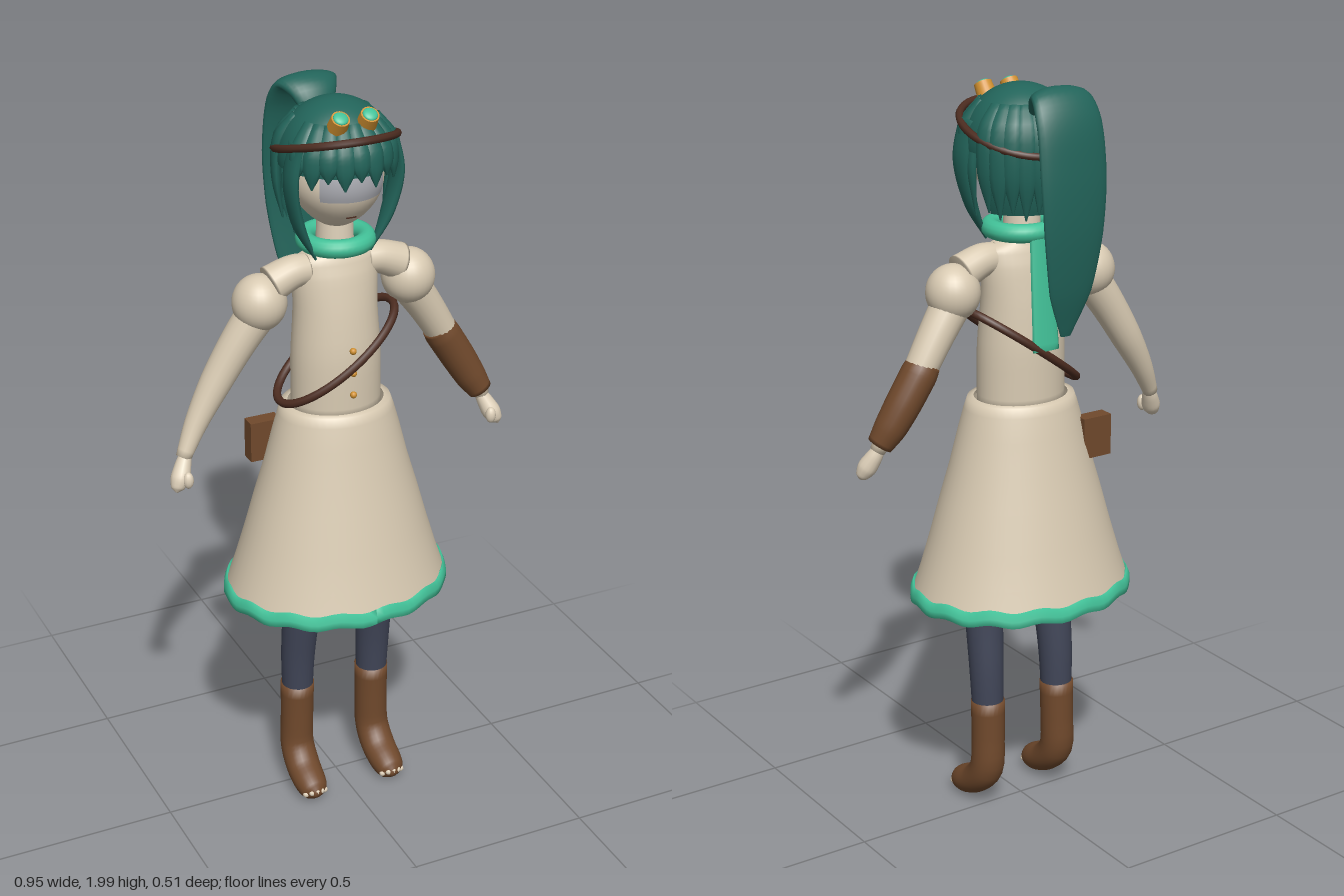
import * as THREE from 'three';

const paint = (name, color) => {
  const m = new THREE.MeshStandardMaterial({ color, side: THREE.DoubleSide });
  m.name = name;
  return m;
};

export function createModel() {
  const model = new THREE.Group();
  model.name = 'adventurer';
  const cream = paint('cream cloth', 0xd8cab2);
  const skin = paint('skin', 0xdfd1ba);
  const navy = paint('navy leggings', 0x414658);
  const leather = paint('brown leather', 0x70492c);
  const strapBrown = paint('dark strap', 0x4c2c20);
  const hairTeal = paint('teal hair', 0x22645a);
  const green = paint('mint green', 0x42c198);
  const gold = paint('gold', 0xd09030);
  const eyeGrey = paint('eye grey', 0xa9aab0);

  const add = (name, geometry, material, x = 0, y = 0, z = 0, parent = model) => {
    const mesh = new THREE.Mesh(geometry, material);
    mesh.name = name;
    mesh.position.set(x, y, z);
    parent.add(mesh);
    return mesh;
  };

  // Smooth capped sweep through sections [x, y, z, radius along ref, radius across]
  const loft = (sections, ref, n = 20, steps = 20) => {
    const path = new THREE.CatmullRomCurve3(sections.map((s) => new THREE.Vector3(s[0], s[1], s[2])));
    const size = new THREE.CatmullRomCurve3(sections.map((s) => new THREE.Vector3(s[3], s[4] ?? s[3], 0)));
    const pos = [], idx = [];
    for (let i = 0; i <= steps; i++) {
      const c = path.getPoint(i / steps), r = size.getPoint(i / steps), t = path.getTangent(i / steps);
      const u = ref.clone().addScaledVector(t, -ref.dot(t)).normalize();
      const v = t.clone().cross(u);
      for (let j = 0; j < n; j++) {
        const a = (j / n) * Math.PI * 2;
        const p = c.clone().addScaledVector(u, Math.cos(a) * Math.max(r.x, 0.0005))
          .addScaledVector(v, Math.sin(a) * Math.max(r.y, 0.0005));
        pos.push(p.x, p.y, p.z);
        if (i < steps) {
          const k = i * n + j, l = i * n + (j + 1) % n;
          idx.push(k, l, l + n, k, l + n, k + n);
        }
      }
    }
    const last = steps * n, mid = pos.length / 3;
    const a = path.getPoint(0), b = path.getPoint(1);
    pos.push(a.x, a.y, a.z, b.x, b.y, b.z);
    for (let j = 0; j < n; j++) {
      const k = (j + 1) % n;
      idx.push(mid, k, j, mid + 1, last + j, last + k);
    }
    const g = new THREE.BufferGeometry();
    g.setAttribute('position', new THREE.Float32BufferAttribute(pos, 3));
    g.setIndex(idx);
    g.computeVertexNormals();
    return g;
  };
  const X = new THREE.Vector3(1, 0, 0), Z = new THREE.Vector3(0, 0, 1);
  const lathe = (pts, seg = 48, ...arc) =>
    new THREE.LatheGeometry(pts.map((p) => new THREE.Vector2(p[0], p[1])), seg, ...arc);
  const loop = (fn, radius) => {
    const pts = Array.from({ length: 32 }, (_, i) => new THREE.Vector3(...fn((i / 32) * Math.PI * 2)));
    return new THREE.TubeGeometry(new THREE.CatmullRomCurve3(pts, true), 64, radius, 8, true);
  };

  // Dress: bodice, open skirt and wavy hem
  add('bodice', loft([[0, 1.15, 0, 0.12, 0.1], [0, 1.3, 0, 0.119, 0.1], [0, 1.43, -0.003, 0.112, 0.088],
    [0, 1.53, -0.005, 0.115, 0.07], [0, 1.575, -0.005, 0.11, 0.055], [0, 1.6, -0.005, 0.055, 0.045]], X, 32), cream);
  add('skirt', lathe([[0.302, 0.645], [0.277, 0.72], [0.25, 0.81], [0.222, 0.91], [0.195, 1.0],
    [0.172, 1.09], [0.155, 1.15], [0.146, 1.175], [0.128, 1.178]]), cream).scale.z = 0.835;
  const hem = lathe([[0.29, 0.655], [0.296, 0.63], [0.308, 0.633], [0.307, 0.65], [0.298, 0.672], [0.29, 0.655]], 96);
  const hp = hem.attributes.position;
  for (let i = 0; i < hp.count; i++) {
    hp.setY(i, hp.getY(i) + 0.005 * Math.sin(14 * Math.atan2(hp.getZ(i), hp.getX(i))));
  }
  hem.computeVertexNormals();
  add('skirtHem', hem, green).scale.z = 0.835;
  for (const y of [1.23, 1.29, 1.35]) {
    add('button', new THREE.SphereGeometry(0.009, 12, 8), gold, 0, y, y > 1.3 ? 0.104 : 0.107);
  }

  // Cross-body strap and pouch
  add('shoulderStrap', loop((t) => [0.157 * Math.cos(t), 1.31 + 0.112 * Math.cos(t), 0.113 * Math.sin(t)], 0.011), strapBrown);
  add('pouch', new THREE.BoxGeometry(0.085, 0.11, 0.042), leather, -0.1675, 1.055, -0.09);

  // Scarf ring and hanging tail
  const ring = add('scarf', new THREE.TorusGeometry(0.078, 0.024, 14, 40), green, 0, 1.62, 0);
  ring.rotation.x = Math.PI / 2;
  add('scarfTail', loft([[0, 1.62, -0.085, 0.03, 0.012], [0, 1.5, -0.098, 0.035, 0.009],
    [0, 1.32, -0.115, 0.04, 0.007]], X, 12), green);
  add('neck', new THREE.CylinderGeometry(0.045, 0.05, 0.12, 24), skin, 0, 1.63, -0.005);

  // Arms, legs and boots, mirrored
  for (const s of [1, -1]) {
    const limb = (name, secs, ref, mat, n) => add(name, loft(secs.map(([x, ...r]) => [x * s, ...r]), ref, n), mat);
    const side = s > 0 ? 'left' : 'right';
    limb(side + 'Shoulder', [[0.08, 1.55, 0, 0.04], [0.12, 1.548, 0, 0.043], [0.18, 1.525, 0, 0.048]], Z, cream);
    add(side + 'PuffSleeve', new THREE.SphereGeometry(0.07, 28, 20), cream, 0.207 * s, 1.48, -0.005).scale.y = 1.05;
    limb(side + 'Arm', [[0.2, 1.47, -0.005, 0.052], [0.26, 1.385, -0.012, 0.047], [0.325, 1.28, -0.016, 0.041],
      [0.385, 1.18, -0.008, 0.03], [0.428, 1.1, 0.008, 0.02]], Z, cream);
    limb(side + 'Hand', [[0.418, 1.115, 0.005, 0.014], [0.432, 1.085, 0.015, 0.021], [0.446, 1.055, 0.028, 0.025],
      [0.458, 1.032, 0.036, 0.017], [0.462, 1.022, 0.04, 0.003]], Z, skin, 14);
    add(side + 'Thumb', new THREE.SphereGeometry(0.014, 12, 10), skin, 0.433 * s, 1.055, 0.05).scale.y = 1.6;
    limb(side + 'Leg', [[0.105, 0.95, 0.025, 0.062], [0.108, 0.6, 0.016, 0.052], [0.112, 0.42, -0.002, 0.046],
      [0.112, 0.28, -0.008, 0.041]], X, navy);
    limb(side + 'Boot', [[0.112, 0.33, -0.008, 0.046], [0.113, 0.22, -0.01, 0.045], [0.115, 0.13, -0.006, 0.046],
      [0.116, 0.08, 0.035, 0.047, 0.042], [0.117, 0.057, 0.08, 0.045, 0.041], [0.117, 0.047, 0.115, 0.037, 0.033],
      [0.117, 0.043, 0.137, 0.008, 0.008]], X, leather, 24);
    for (let i = -2; i <= 2; i++) {
      add('toe', new THREE.SphereGeometry(0.009, 8, 6), skin, 0.117 * s + i * 0.014, 0.05 - 0.002 * i * i, 0.13 - 0.003 * i * i);
    }
  }
  add('gauntlet', loft([[0.3, 1.315, -0.016, 0.042], [0.32, 1.285, -0.016, 0.047], [0.36, 1.22, -0.012, 0.046],
    [0.395, 1.16, -0.004, 0.042], [0.422, 1.115, 0.006, 0.033]], Z), leather);

  // Head with tapered chin, eye band and mouth
  const shapeFace = (g) => {
    const p = g.attributes.position;
    for (let i = 0; i < p.count; i++) {
      const y = p.getY(i), k = y < 0 ? 1 - 0.22 * y * y : 1;
      p.setXYZ(i, p.getX(i) * k * 0.118, y * 0.135, p.getZ(i) * k * 0.128);
    }
    g.computeVertexNormals();
    return g;
  };
  add('head', shapeFace(new THREE.SphereGeometry(1, 36, 28)), skin, 0, 1.79, 0);
  add('eyeBand', shapeFace(new THREE.SphereGeometry(1.012, 24, 8, Math.PI / 2 - 0.8, 1.6, 1.26, 0.56)), eyeGrey, 0, 1.79, 0);
  add('mouth', new THREE.BoxGeometry(0.026, 0.004, 0.006), strapBrown, 0, 1.705, 0.089);
  for (const s of [1, -1]) {
    add('ear', new THREE.SphereGeometry(0.022, 12, 10), skin, 0.116 * s, 1.765, -0.015).scale.set(0.5, 1.3, 0.9);
  }

  // Hair: cap, back shell, fringe, side locks, ponytail
  const hair = new THREE.Group();
  hair.name = 'hair';
  model.add(hair);
  add('hairCap', new THREE.SphereGeometry(0.146, 40, 20, 0, Math.PI * 2, 0, Math.PI * 0.53), hairTeal, 0, 1.84, 0, hair);
  add('hairBack', lathe([[0.12, 1.675], [0.135, 1.72], [0.142, 1.78], [0.145, 1.85]], 32,
    Math.PI * 0.6, Math.PI * 0.8), hairTeal, 0, 0, 0, hair);
  const strand = (name, deg, tip, width, rTip) => {
    const a = deg * Math.PI / 180, sx = Math.sin(a), cz = Math.cos(a);
    const at = (r, y, w, d) => [r * sx, y, r * cz, w, d];
    add(name, loft([at(0.1, 1.945, width * 0.6, 0.008), at(0.14, 1.885, width, 0.014),
      at(0.147, (1.885 + tip) / 2, width * 0.9, 0.012), at(rTip, tip, 0.002, 0.002)],
    new THREE.Vector3(cz, 0, -sx), 10, 12), hairTeal, 0, 0, 0, hair);
  };
  for (let i = 0; i < 9; i++) strand('fringe', -64 + i * 16, i % 2 ? 1.795 : 1.815, 0.026, 0.148);
  for (let i = 0; i < 11; i++) strand('backLock', 110 + i * 14, i % 2 ? 1.665 : 1.68, 0.028, 0.132);
  for (const s of [1, -1]) {
    add('sideLock', loft([[0.125 * s, 1.9, 0.045, 0.04, 0.012], [0.143 * s, 1.8, 0.05, 0.036, 0.014],
      [0.122 * s, 1.69, 0.045, 0.027, 0.014], [0.075 * s, 1.59, 0.045, 0.003, 0.003]], Z, 12), hairTeal, 0, 0, 0, hair);
    add('innerLock', loft([[0.13 * s, 1.86, 0.015, 0.02, 0.01], [0.137 * s, 1.78, 0.015, 0.018, 0.01],
      [0.12 * s, 1.66, 0.02, 0.002, 0.002]], Z, 10), hairTeal, 0, 0, 0, hair);
  }
  add('ponytail', loft([[0, 1.925, -0.105, 0.045, 0.02], [0, 1.963, -0.133, 0.065, 0.026], [0, 1.975, -0.17, 0.083, 0.025],
    [0, 1.925, -0.207, 0.094, 0.024], [0, 1.8, -0.23, 0.097, 0.021], [0, 1.65, -0.234, 0.088, 0.017],
    [0, 1.5, -0.221, 0.064, 0.011], [0, 1.38, -0.2, 0.015, 0.002]], X, 24, 36), hairTeal, 0, 0, 0, hair);

  // Goggles: tilted headband and two eyepieces
  const goggles = new THREE.Group();
  goggles.name = 'goggles';
  model.add(goggles);
  add('headband', loop((t) => [0.15 * Math.cos(t), 1.875 + 0.047 * Math.sin(t), 0.157 * Math.sin(t)], 0.01),
    strapBrown, 0, 0, 0, goggles);
  for (const s of [1, -1]) {
    const eyepiece = new THREE.Group();
    eyepiece.name = 'eyepiece';
    eyepiece.position.set(0.039 * s, 1.952, 0.1);
    eyepiece.rotation.x = 0.6;
    goggles.add(eyepiece);
    add('eyepieceRim', new THREE.CylinderGeometry(0.023, 0.026, 0.042, 24), gold, 0, 0, 0, eyepiece);
    add('lens', new THREE.SphereGeometry(0.019, 20, 8, 0, Math.PI * 2, 0, Math.PI / 2), green, 0, 0.021, 0, eyepiece).scale.y = 0.4;
  }
  return model;
}
